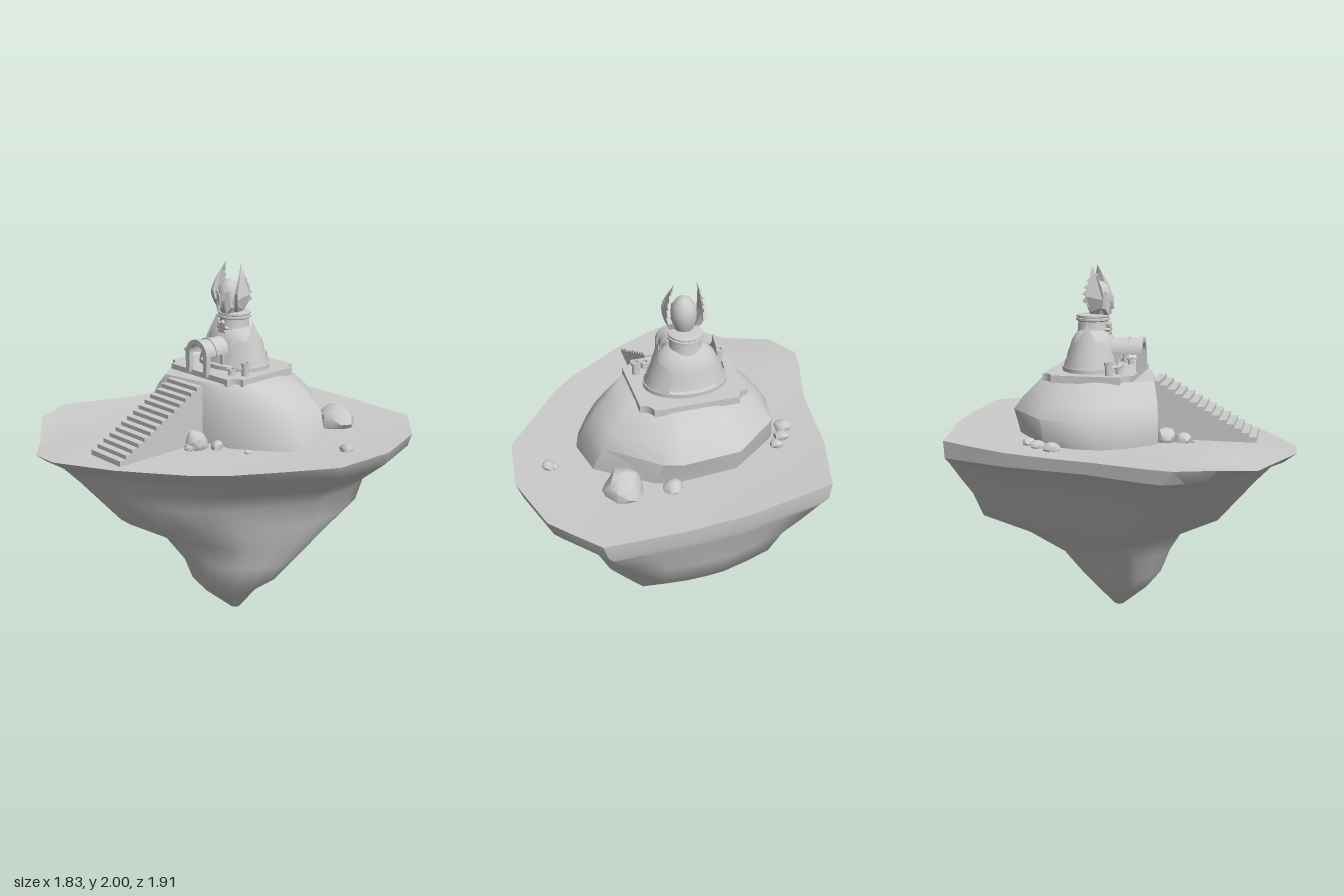
import * as THREE from 'three';
import { toCreasedNormals, mergeVertices } from 'three/addons/utils/BufferGeometryUtils.js';

const grey = new THREE.MeshStandardMaterial({ color: 0xcccccc });
const thin = new THREE.MeshStandardMaterial({ color: 0xcccccc, side: THREE.DoubleSide });
const TX = -0.042, TZ = -0.175; // tower axis

function add(parent, name, geometry, x = 0, y = 0, z = 0, material = grey) {
  const mesh = new THREE.Mesh(geometry, material);
  mesh.name = name;
  mesh.position.set(x, y, z);
  parent.add(mesh);
  return mesh;
}

// Skin a stack of rings, listed bottom to top
function loft(rings, crease) {
  const n = rings[0].length, pos = [], index = [];
  rings.forEach(r => r.forEach(p => pos.push(...p)));
  for (let k = 0; k < rings.length - 1; k++) for (let i = 0; i < n; i++) {
    const a = k * n + i, b = k * n + (i + 1) % n;
    index.push(a, a + n, b + n, a, b + n, b);
  }
  const g = new THREE.BufferGeometry();
  g.setAttribute('position', new THREE.Float32BufferAttribute(pos, 3));
  g.setIndex(index);
  return toCreasedNormals(g, crease);
}

// Fit an outline into a box at height y, rounding it towards an ellipse by t
function fitRing(outline, [y, x0, x1, z0, z1, t = 0]) {
  const xs = outline.map(p => p[0]), zs = outline.map(p => p[1]);
  const unit = (v, a) => 2 * (v - Math.min(...a)) / (Math.max(...a) - Math.min(...a)) - 1;
  return outline.map(([x, z]) => {
    const u = unit(x, xs), v = unit(z, zs), s = 1 - t + t / Math.hypot(u, v);
    return [(x0 + x1) / 2 + u * s * (x1 - x0) / 2, y, (z0 + z1) / 2 + v * s * (z1 - z0) / 2];
  });
}

const subdivide = o => o.flatMap((p, i) => {
  const q = o[(i + 1) % o.length];
  return [p, [(p[0] + q[0]) / 2, (p[1] + q[1]) / 2]];
});

function archShape(outer, inner, leg) {
  const s = new THREE.Shape();
  s.moveTo(outer, -leg);
  s.lineTo(outer, 0);
  s.absarc(0, 0, outer, 0, Math.PI, false);
  s.lineTo(-outer, -leg);
  s.lineTo(-inner, -leg);
  s.lineTo(-inner, 0);
  s.absarc(0, 0, inner, Math.PI, 0, true);
  s.lineTo(inner, -leg);
  return s;
}
const extrude = (shape, depth) =>
  new THREE.ExtrudeGeometry(shape, { depth, bevelEnabled: false, curveSegments: 16 });
const lathe = (pts, seg = 32) =>
  toCreasedNormals(new THREE.LatheGeometry(pts.map(p => new THREE.Vector2(...p)), seg), 0.6);
const polygon = pts => new THREE.Shape(pts.map(p => new THREE.Vector2(...p)));

// Plateau height: rising to the back, most at its right corner, with a dip at the front
const ground = (x, z) => 1.086 + 0.03 * Math.abs(x) ** 3 + 0.05 * Math.max(0, -z) ** 2 * (0.75 - 0.5 * x)
  - 0.045 * Math.exp(-((x + 0.59) ** 2 + (z - 0.76) ** 2) / 0.03);

function buildIsland(g) {
  const rim = subdivide([[-0.62, -0.84], [-0.14, -0.94], [0.18, -0.96], [0.59, -0.955], [0.81, -0.71],
    [0.91, -0.38], [0.88, -0.04], [0.55, 0.43], [0.43, 0.55], [0.10, 0.79], [-0.2, 0.95], [-0.35, 0.955],
    [-0.83, 0.6], [-0.92, 0.4], [-0.89, 0.26], [-0.8, -0.02], [-0.73, -0.48]]);
  // Hanging rock
  add(g, 'rockUnderside', loft([[0, 0.1, 0.1, -0.06, -0.06], [0.015, 0.07, 0.13, -0.09, -0.03, 0.8],
    [0.15, -0.06, 0.23, -0.2, 0.12, 0.6], [0.25, -0.15, 0.355, -0.28, 0.2, 0.5],
    [0.38, -0.2, 0.44, -0.39, 0.25, 0.35], [0.52, -0.34, 0.51, -0.58, 0.33, 0.25],
    [0.65, -0.53, 0.57, -0.83, 0.55, 0.2], [0.79, -0.6, 0.6, -0.87, 0.66, 0.1],
    [0.9, -0.72, 0.72, -0.91, 0.74], [0.998, -0.835, 0.835, -0.945, 0.825]].map(l => fitRing(rim, l)), 1.3));

  // Bevelled rim flush with the rock, and the plateau
  const rings = [[0.998, -0.835, 0.835, -0.945, 0.825], [1.035, -0.9, 0.88, -0.955, 0.89]].map(l => fitRing(rim, l));
  for (const s of [1, 0.9, 0.8, 0.65, 0.35, 0]) rings.push(rim.map(([x, z]) => [x * s, ground(x * s, z * s), z * s]));
  add(g, 'plateau', loft(rings, 0.65));

  // Mound under the tower
  const foot = [[-0.48, -0.38], [-0.21, -0.6], [0.13, -0.63], [0.23, -0.6], [0.51, -0.38], [0.555, -0.15],
    [0.53, -0.06], [0.28, 0.13], [0, 0.19], [-0.3, 0.23], [-0.45, 0.08], [-0.51, -0.05], [-0.52, -0.18]];
  add(g, 'mound', loft([[1.05, -0.51, 0.555, -0.57, 0.225], [1.12, -0.52, 0.54, -0.58, 0.23],
    [1.23, -0.505, 0.49, -0.61, 0.23], [1.3, -0.45, 0.435, -0.56, 0.22], [1.36, -0.385, 0.365, -0.5, 0.205],
    [1.41, -0.33, 0.29, -0.42, 0.19], [1.412, -0.03, -0.03, -0.15, -0.15]].map(l => fitRing(foot, l)), 0.7));
}

// One stepped wedge climbing the mound
function buildStairs(g) {
  const n = 14, run = 0.56 / n, profile = [[0.735, 1.06]];
  for (let i = 0; i < n; i++) {
    const y = 1.115 + i * 0.285 / (n - 1);
    profile.push([0.735 - i * run, y], [0.735 - (i + 1) * run, y]);
  }
  profile.push([0.735 - n * run, 1.06]);
  add(g, 'stairs', extrude(polygon(profile.map(([z, y]) => [-z, y])), 0.245).rotateY(Math.PI / 2), -0.162);
}

function buildRocks(g) {
  // x, z, radius, height factor
  const rocks = [[0.39, -0.56, 0.105, 0.85], [0.15, -0.62, 0.05, 0.8], [-0.57, -0.28, 0.045, 0.8],
    [-0.53, -0.36, 0.04, 0.8], [-0.48, -0.42, 0.035, 0.8], [0.72, -0.265, 0.035, 0.8], [0.69, -0.28, 0.02, 1],
    [0.38, 0.12, 0.018, 0.8], [0.125, 0.25, 0.062, 1.2], [0.125, 0.3, 0.035, 0.8], [0.21, 0.19, 0.035, 1],
    [-0.22, 0.26, 0.055, 1], [-0.21, 0.35, 0.045, 0.8], [-0.22, 0.405, 0.012, 1]];
  rocks.forEach(([x, z, r, h], k) => {
    let geo = new THREE.IcosahedronGeometry(r, 1);
    geo.deleteAttribute('normal');
    geo.deleteAttribute('uv');
    geo = mergeVertices(geo);
    const p = geo.attributes.position;
    for (let i = 0; i < p.count; i++) {
      const s = 1 + 0.12 * Math.sin(i * 12.9 + k * 7.3);
      p.setXYZ(i, p.getX(i) * s, p.getY(i) * s * h, p.getZ(i) * s);
    }
    add(g, 'rock', toCreasedNormals(geo, 0.6), x, ground(x, z) + r * h * 0.3, z);
  });
}

function buildPlatform(g) {
  // Slab with scooped corners
  const plate = (hx, hz, c) => {
    const s = new THREE.Shape();
    s.moveTo(-hx + c, -hz);
    s.absarc(hx, -hz, c, Math.PI, Math.PI / 2, true);
    s.absarc(hx, hz, c, -Math.PI / 2, -Math.PI, true);
    s.absarc(-hx, hz, c, 0, -Math.PI / 2, true);
    s.absarc(-hx, -hz, c, Math.PI / 2, 0, true);
    return s;
  };
  add(g, 'platform', extrude(plate(0.287, 0.247, 0.06), 0.04).rotateX(-Math.PI / 2), TX, 1.4, -0.155);
  // Lantern posts in mirrored pairs
  for (const s of [-1, 1]) for (const [dx, z, h] of [[0.23, -0.04, 0.07], [0.17, 0.005, 0.035]])
    add(g, 'lanternPost', lathe([[0, 0], [0.021, 0], [0.018, h * 0.75], [0.025, h * 0.75], [0.025, h],
      [0.016, h], [0.016, h - 0.012], [0, h - 0.012]], 14), TX + s * dx, 1.44, z);
}

function buildGate(g) {
  const gate = new THREE.Group();
  gate.name = 'gate';
  gate.position.set(TX, 1.535, 0);
  g.add(gate);
  add(gate, 'frontArch', extrude(archShape(0.083, 0.056, 0.11), 0.028), 0, 0, 0.08);
  add(gate, 'vault', extrude(archShape(0.075, 0.06, 0.005), 0.19), 0, 0, -0.1);
  add(gate, 'vaultRib', extrude(archShape(0.08, 0.06, 0.008), 0.015), 0, 0, 0.015);
  add(gate, 'doorFrame', extrude(archShape(0.06, 0.04, 0.095), 0.05), 0, 0, -0.08);
  add(gate, 'door', extrude(archShape(0.045, 0.001, 0.095), 0.03), 0, 0, -0.08);
}

function buildTower(g) {
  const tower = new THREE.Group();
  tower.name = 'tower';
  tower.position.set(TX, 0, TZ);
  g.add(tower);
  add(tower, 'skirt', lathe([[0.225, 1.43], [0.225, 1.462], [0.2, 1.468], [0.19, 1.49], [0.175, 1.55],
    [0.155, 1.6], [0.125, 1.635], [0.095, 1.655], [0, 1.66]])).scale.z = 0.74;
  add(tower, 'neck', lathe([[0.1, 1.6], [0.084, 1.65], [0.08, 1.7], [0.092, 1.706], [0.092, 1.717],
    [0.085, 1.72], [0.09, 1.724], [0.09, 1.733], [0.06, 1.74], [0, 1.74]]));

  // Jagged armour plates, leaning inwards on both flanks, over a scalloped hem
  const plates = [[1.46, 0.213, [1.55, 1.6, 1.595, 1.64, 1.7, 1.64, 1.595, 1.6, 1.55]],
    [1.455, 0.222, [1.5, 1.53, 1.5, 1.49, 1.52, 1.49, 1.5, 1.53, 1.5]]];
  for (const side of [1, -1]) for (const [base, r, peaks] of plates) {
    const geo = new THREE.CylinderGeometry(1, 1, 1, 8, 1, true, side * Math.PI / 2 - 0.95, 1.9);
    const p = geo.attributes.position;
    for (let i = 0; i < p.count; i++) {
      const y = p.getY(i) > 0 ? peaks[i % 9] : base, rad = r - (y - base) * 0.3;
      p.setXYZ(i, p.getX(i) * rad, y, p.getZ(i) * rad * 0.76);
    }
    geo.computeVertexNormals();
    add(tower, 'armourPlate', geo, 0, 0, 0, thin);
  }

  // Star ornament on the neck
  const star = polygon(Array.from({ length: 16 }, (_, i) => {
    const a = i * Math.PI / 8, r = i % 2 ? 0.026 : 0.042;
    return [Math.sin(a) * r, Math.cos(a) * r];
  }));
  add(tower, 'starOrnament', extrude(star, 0.03), 0, 1.655, 0.068);
}

function buildHelmet(g) {
  const helmet = new THREE.Group();
  helmet.name = 'helmet';
  helmet.position.set(TX, 0, TZ + 0.035);
  g.add(helmet);
  add(helmet, 'helmetShell', lathe([[0.045, 1.73], [0.054, 1.755], [0.066, 1.79], [0.067, 1.83], [0.058, 1.87],
    [0.038, 1.9], [0.015, 1.914], [0, 1.916]], 24)).scale.z = 1.05;
  // Visor: brow wings, cheek guards and nose ridge
  const half = [[0, 1.835], [0.05, 1.86], [0.058, 1.77], [0.035, 1.735], [0.028, 1.79], [0.04, 1.815],
    [0.008, 1.8], [0, 1.765]];
  for (const s of [1, -1]) {
    const geo = extrude(polygon(half.map(([x, y]) => [x * s, y])), 0.025);
    const p = geo.attributes.position;
    for (let i = 0; i < p.count; i++) p.setZ(i, p.getZ(i) + 0.056 - Math.abs(p.getX(i)) * 0.6);
    geo.computeVertexNormals();
    add(helmet, 'visor', geo, 0, 0, 0, thin);
  }

  // Feathered wings, drawn as (z, y) and curved outwards like sickles
  const wing = [[0.015, 1.745], [0.03, 1.78], [0.042, 1.82], [0.045, 1.85], [0.032, 1.89], [0.015, 1.925],
    [-0.005, 1.96], [-0.022, 2], [-0.035, 1.95], [-0.026, 1.945], [-0.05, 1.92], [-0.036, 1.91], [-0.062, 1.885],
    [-0.045, 1.875], [-0.07, 1.85], [-0.05, 1.84], [-0.07, 1.81], [-0.045, 1.8], [-0.03, 1.755]];
  for (const s of [1, -1]) {
    const geo = extrude(polygon(wing.map(([z, y]) => [-z, y])), 0.03).rotateY(Math.PI / 2);
    const p = geo.attributes.position;
    for (let i = 0; i < p.count; i++) {
      const t = (p.getY(i) - 1.745) / 0.255;
      const bend = 0.045 + 0.012 * t + 0.036 * Math.sin(Math.PI * t ** 0.8);
      p.setX(i, s * (bend + p.getX(i) * (1 - 0.9 * t)));
    }
    geo.computeVertexNormals();
    add(helmet, 'wing', geo, 0, 0, 0, thin);
  }
}

export function createModel() {
  const g = new THREE.Group();
  g.name = 'floatingIslandShrine';
  [buildIsland, buildStairs, buildRocks, buildPlatform, buildGate, buildTower, buildHelmet].forEach(f => f(g));
  return g;
}
